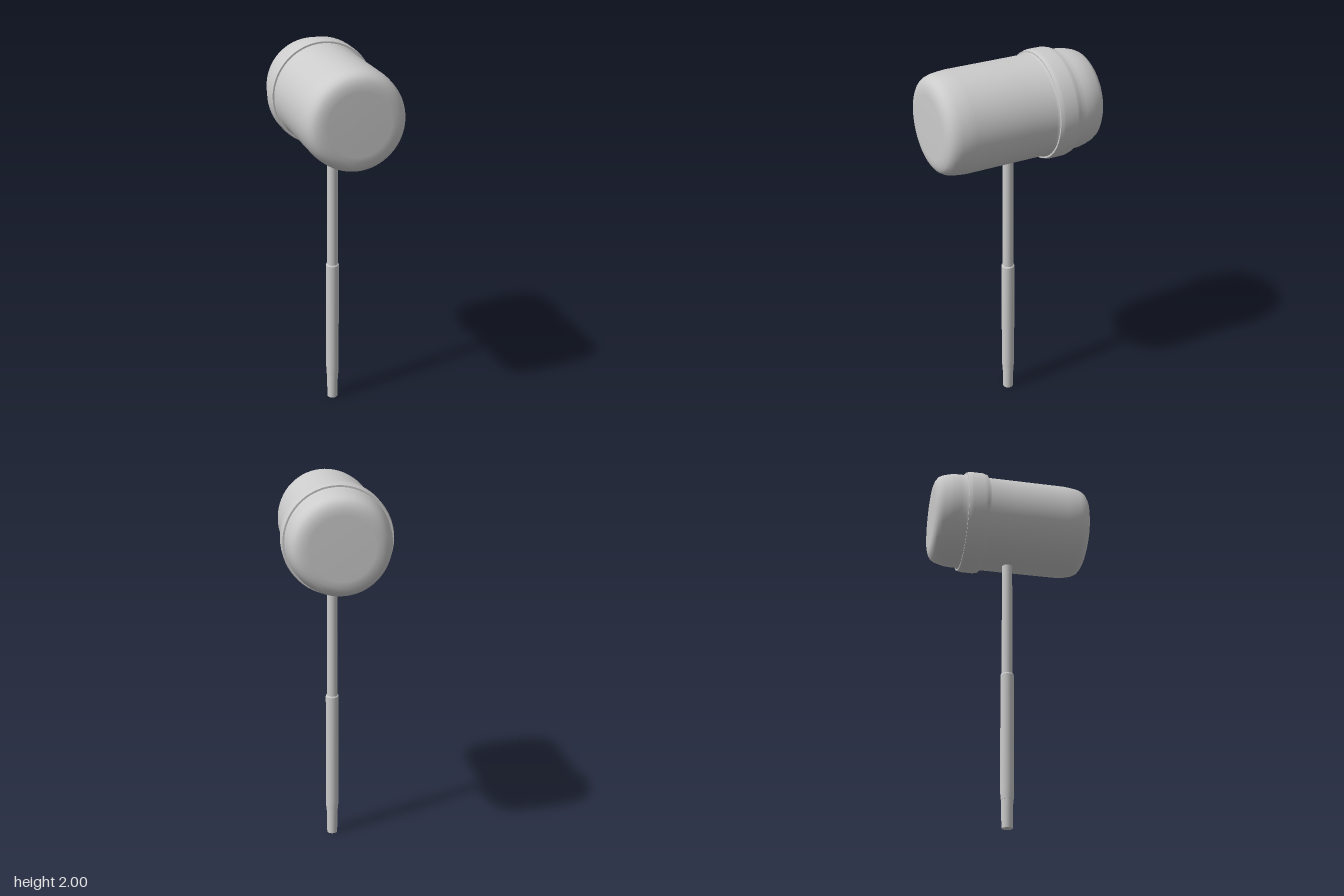
import * as THREE from 'three';

const material = new THREE.MeshStandardMaterial({ color: 0xcccccc, side: THREE.DoubleSide });

// Turned part from [radius, height] pairs; a repeated pair keeps that edge sharp.
function turned(name, profile, segments) {
  const points = profile.map(([r, h]) => new THREE.Vector2(r, h));
  const mesh = new THREE.Mesh(new THREE.LatheGeometry(points, segments), material);
  mesh.name = name;
  return mesh;
}

export function createModel() {
  const model = new THREE.Group();
  model.name = 'mallet';

  // Head: lathed around its own axis, then laid along z
  const head = new THREE.Group();
  head.name = 'head';
  head.position.y = 1.722;
  head.rotation.x = Math.PI / 2;
  model.add(head);

  // Barrel with softly rounded striking faces
  head.add(turned('barrel', [
    [0, -0.432], [0.16, -0.432], [0.19, -0.429], [0.213, -0.421], [0.23, -0.408],
    [0.241, -0.388], [0.249, -0.36], [0.255, -0.335], [0.257, -0.3], [0.257, -0.274],
    [0.264, -0.258], [0.264, -0.258], [0.264, -0.149], [0.264, -0.149],
    [0.257, -0.134], [0.257, 0], [0.257, 0.29], [0.254, 0.33], [0.249, 0.365], [0.242, 0.388],
    [0.23, 0.407], [0.213, 0.419], [0.19, 0.426], [0.16, 0.429], [0, 0.429],
  ], 64));

  // Raised band near the back
  head.add(turned('band', [
    [0.25, -0.26], [0.272, -0.26], [0.272, -0.26], [0.275, -0.249], [0.278, -0.236],
    [0.278, -0.171], [0.275, -0.158], [0.272, -0.147], [0.272, -0.147], [0.25, -0.147],
  ], 64));

  // Shaft runs up into the barrel
  model.add(turned('shaft', [
    [0, 0], [0.028, 0], [0.028, 0], [0.031, 0.145], [0.029, 0.82], [0.028, 1.55],
  ], 24));

  // Thicker sleeve on the lower half of the shaft
  model.add(turned('grip', [
    [0.028, 0.145], [0.033, 0.145], [0.033, 0.145], [0.035, 0.2], [0.035, 0.815],
    [0.035, 0.815], [0.033, 0.822], [0.027, 0.822],
  ], 24));

  return model;
}
